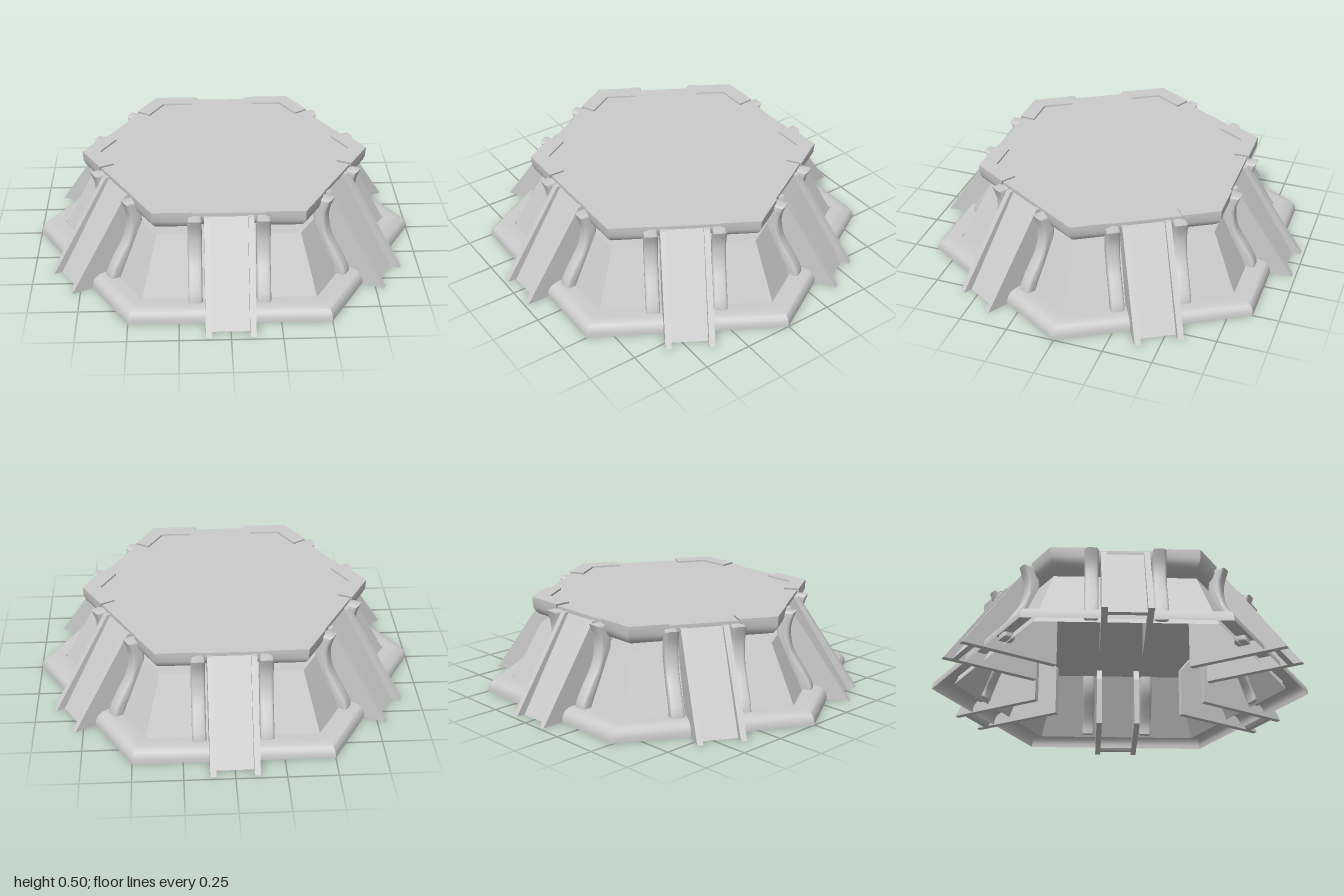
import * as THREE from 'three';
import { toCreasedNormals } from 'three/addons/utils/BufferGeometryUtils.js';

const material = new THREE.MeshStandardMaterial({ color: 0xcccccc, side: THREE.DoubleSide });
const TAN30 = Math.tan(Math.PI / 6), COS30 = Math.cos(Math.PI / 6);

function part(name, geometry, crease = 0.6) {
  const mesh = new THREE.Mesh(toCreasedNormals(geometry, crease), material);
  mesh.name = name;
  return mesh;
}

// Six-sided ring from [apothem, y] points, flat side facing +z
function hexLathe(points) {
  const profile = points.map(([a, y]) => new THREE.Vector2(a / COS30, y));
  return new THREE.LatheGeometry(profile, 6, Math.PI / 6);
}

// Extrude a [z, y] outline along x, centred on the given x
function sideExtrude(points, width, x, bevel = 0) {
  const shape = new THREE.Shape(points.map(([z, y]) => new THREE.Vector2(z, y)));
  const depth = width - 2 * bevel;
  const geometry = new THREE.ExtrudeGeometry(shape, {
    depth, bevelEnabled: bevel > 0, bevelSize: bevel, bevelThickness: bevel,
    bevelOffset: -bevel, bevelSegments: 3,
  });
  return geometry.translate(0, 0, -depth / 2).rotateY(-Math.PI / 2).translate(x, 0, 0);
}

// Curved brace: a band of even thickness under a smooth outer curve
function braceOutline() {
  const curve = new THREE.SplineCurve([
    [0.8, 0.04], [0.79, 0.1], [0.745, 0.18], [0.695, 0.26], [0.675, 0.33], [0.675, 0.4], [0.7, 0.475],
  ].map(([z, y]) => new THREE.Vector2(z, y)));
  const outer = curve.getPoints(20).map((p) => [p.x, p.y]);
  const inner = outer.map(([z, y]) => [z - 0.065, y]).reverse();
  return [...outer, ...inner];
}

// Corner bracket: cross-section swept round one corner of the deck
function bracketGeometry() {
  // [apothem, y, distance of the cut end from the middle of the side]
  const section = [
    [0.65, 0.5, 0.175], [0.648, 0.45, 0.185], [0.638, 0.425, 0.19],
    [0.622, 0.408, 0.2], [0.595, 0.4, 0.21], [0.57, 0.4, 0.2], [0.57, 0.5, 0.17],
  ];
  const mirror = (x, z) => {
    const d = 2 * (x * 0.5 + z * COS30);
    return [d * 0.5 - x, d * COS30 - z];
  };
  const stations = [
    section.map(([a, y, t]) => [t, y, a]),
    section.map(([a, y]) => [a * TAN30, y, a]),
    section.map(([a, y, t]) => { const [x, z] = mirror(t, a); return [x, y, z]; }),
  ];
  const out = [];
  const tri = (a, b, c) => out.push(...a, ...b, ...c);
  const n = section.length;
  for (let s = 0; s < 2; s++) {
    for (let k = 0; k < n; k++) {
      const j = (k + 1) % n, p = stations[s], q = stations[s + 1];
      tri(p[k], p[j], q[j]);
      tri(p[k], q[j], q[k]);
    }
  }
  for (let k = 1; k < n - 1; k++) {
    tri(stations[0][0], stations[0][k + 1], stations[0][k]);
    tri(stations[2][0], stations[2][k], stations[2][k + 1]);
  }
  const geometry = new THREE.BufferGeometry();
  geometry.setAttribute('position', new THREE.Float32BufferAttribute(out, 3));
  return geometry;
}

export function createModel() {
  const model = new THREE.Group();
  model.name = 'hexagonalPlatform';

  // Hollow base: rounded foot, sloping wall and inner ledge
  model.add(part('baseFoot', hexLathe([
    [0.866, 0], [0.865, 0.022], [0.858, 0.042], [0.845, 0.057], [0.825, 0.067], [0.8, 0.07], [0.752, 0.07],
  ])));
  model.add(part('baseWall', hexLathe([[0.765, 0.03], [0.615, 0.355], [0, 0.355]])));

  // Raised deck
  model.add(part('deck', hexLathe([
    [0, 0.4], [0.57, 0.4], [0.6, 0.405], [0.625, 0.425], [0.64, 0.46], [0.64, 0.49], [0, 0.49],
  ])));

  const fin = [[0.982, 0], [0.66, 0.475], [0.625, 0.475], [0.46, 0.27], [0.46, 0]];
  const plate = [[0.935, 0], [0.64, 0.47], [0.61, 0.47], [0.905, 0]];
  const brace = braceOutline();

  // Each side carries a ramp, two fins, two braces and one corner bracket
  for (let i = 0; i < 6; i++) {
    const side = new THREE.Group();
    side.name = `side${i + 1}`;
    side.rotation.y = i * Math.PI / 3;
    side.add(part('rampPlate', sideExtrude(plate, 0.2, 0)));
    for (const s of [-1, 1]) {
      side.add(part('rampFin', sideExtrude(fin, 0.03, s * 0.107)));
      side.add(part('curvedBrace', sideExtrude(brace, 0.07, s * 0.168, 0.015)));
    }
    side.add(part('cornerBracket', bracketGeometry()));
    model.add(side);
  }
  return model;
}
